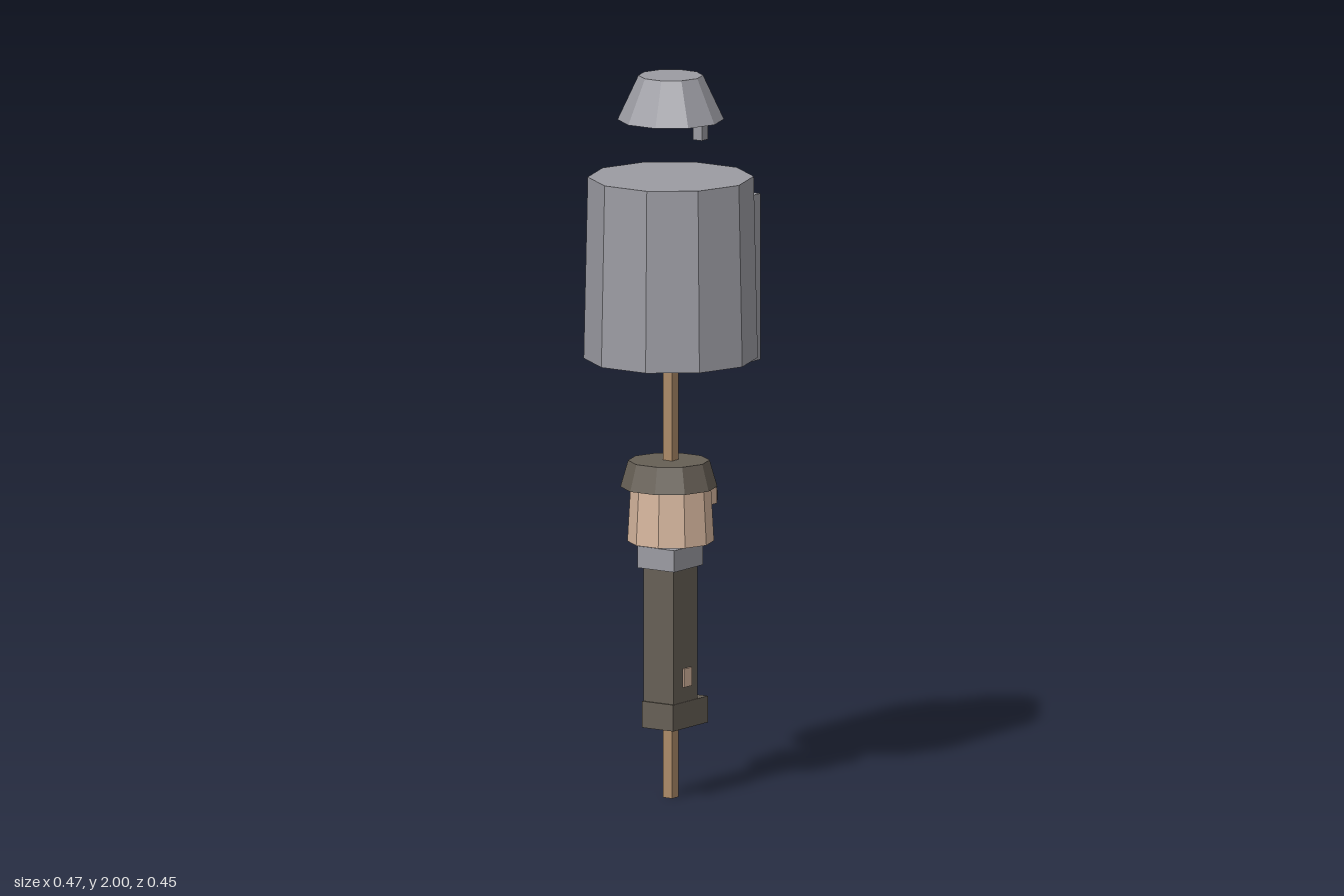
import * as THREE from 'three';

const paint = (name, color) => {
  const m = new THREE.MeshStandardMaterial({ color });
  m.name = name;
  return m;
};

export function createModel() {
  const model = new THREE.Group();
  const grey = paint('grey', 0x9b9ba2);
  const cloth = paint('dark cloth', 0x665f55);
  const skin = paint('skin', 0xd6b69e);
  const wood = paint('wood', 0xac8a68);
  const dark = paint('dark brown', 0x3a3029);

  const add = (parent, name, geo, mat) => {
    const mesh = new THREE.Mesh(geo, mat);
    mesh.name = name;
    parent.add(mesh);
    return mesh;
  };

  // box given by its limits on each axis
  const box = (parent, name, mat, [x0, x1], [y0, y1], [z0, z1]) =>
    add(parent, name, new THREE.BoxGeometry(x1 - x0, y1 - y0, z1 - z0), mat)
      .position.set((x0 + x1) / 2, (y0 + y1) / 2, (z0 + z1) / 2);

  // ten-sided faceted drum with corners on the x axis
  const drum = (parent, name, mat, rTop, rBottom, y0, y1, z = 0) => {
    const geo = new THREE.CylinderGeometry(rTop, rBottom, y1 - y0, 10, 1, false, Math.PI / 2).toNonIndexed();
    geo.computeVertexNormals();
    add(parent, name, geo, mat).position.set(0, (y0 + y1) / 2, z);
  };

  // floating cap with its peg
  drum(model, 'cap', grey, 0.088, 0.145, 1.878, 2);
  box(model, 'capPeg', grey, [-0.015, 0.015], [1.8, 1.9], [-0.157, -0.127]);

  // large drum with back plate
  drum(model, 'drum', grey, 0.226, 0.237, 1.217, 1.719);
  box(model, 'backPlate', grey, [-0.138, 0.138], [1.192, 1.652], [-0.229, -0.153]);

  // stick running through the figure
  box(model, 'stick', wood, [-0.0155, 0.0155], [0, 1.25], [-0.0155, 0.0155]);

  // figure on the stick, facing -z
  const figure = new THREE.Group();
  figure.name = 'figure';
  model.add(figure);
  drum(figure, 'hat', cloth, 0.111, 0.132, 0.862, 0.935, 0.009);
  drum(figure, 'head', skin, 0.109, 0.118, 0.71, 0.87);
  box(figure, 'collar', grey, [-0.061, 0.061], [0.64, 0.7], [-0.066, 0.071]);
  box(figure, 'body', cloth, [-0.05, 0.05], [0.2, 0.64], [-0.056, 0.058]);
  box(figure, 'feet', cloth, [-0.052, 0.052], [0.197, 0.27], [-0.103, 0.063]);

  // face
  box(figure, 'nose', skin, [-0.02, 0.02], [0.78, 0.82], [-0.15, -0.1]);
  box(figure, 'mouth', dark, [-0.032, 0.032], [0.745, 0.757], [-0.124, -0.1]);
  for (const s of [-1, 1]) {
    const x = s * 0.05;
    box(figure, 'eye', skin, [x - 0.02, x + 0.02], [0.803, 0.847], [-0.121, -0.09]);
    box(figure, 'pupil', dark, [x - 0.014, x + 0.014], [0.81, 0.838], [-0.13, -0.12]);
    box(figure, 'hand', skin, [s * 0.051 - 0.005, s * 0.051 + 0.005], [0.312, 0.363], [-0.021, 0.014]);
  }
  return model;
}
